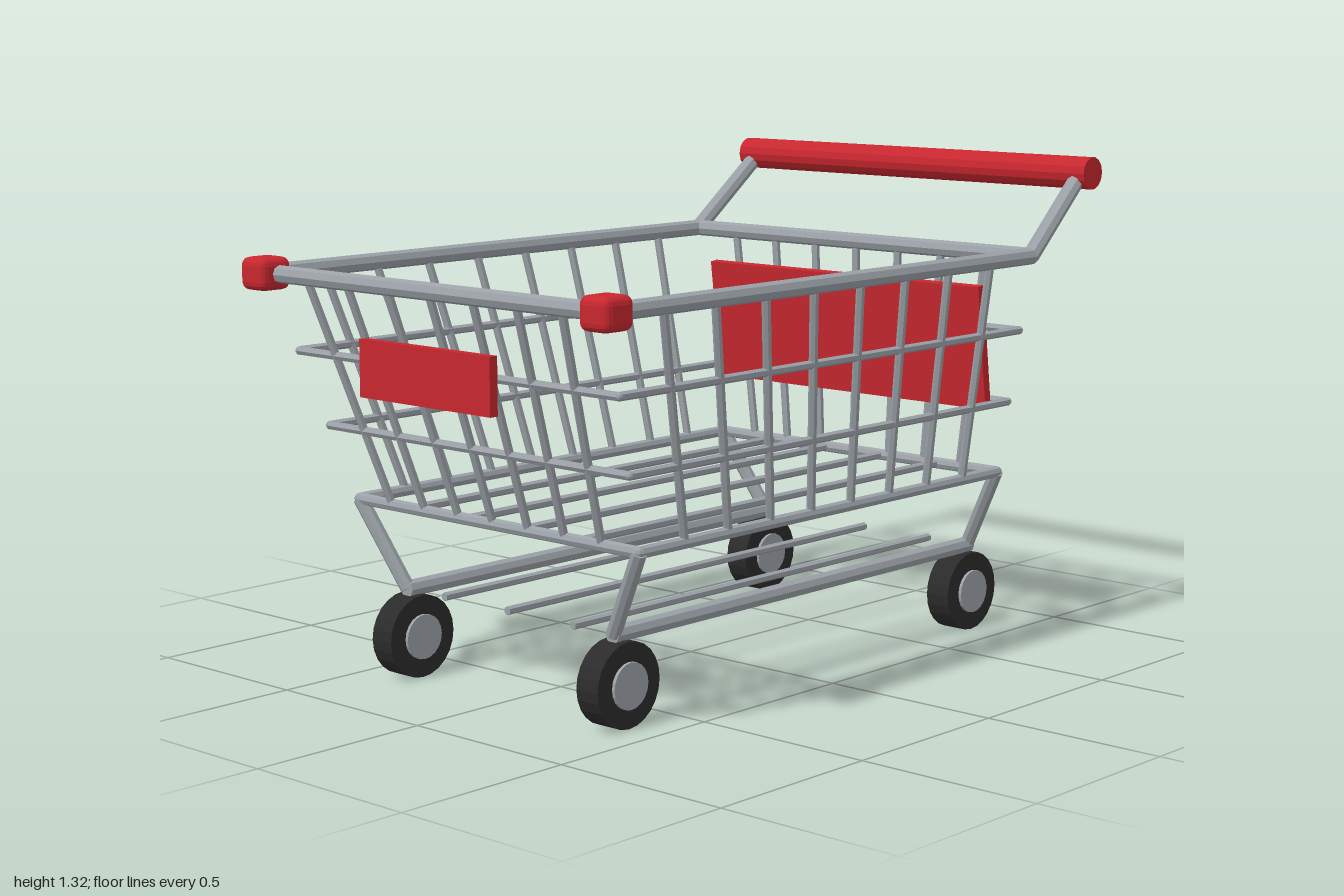
import * as THREE from 'three';
import { RoundedBoxGeometry } from 'three/addons/geometries/RoundedBoxGeometry.js';

const steel = new THREE.MeshStandardMaterial({ color: 0x9ba1a7, flatShading: true });
steel.name = 'steel';
const red = new THREE.MeshStandardMaterial({ color: 0xc8272f, flatShading: true });
red.name = 'red plastic';
const rubber = new THREE.MeshStandardMaterial({ color: 0x2b2b2b, flatShading: true });
rubber.name = 'rubber';

const WIRE = 0.0115, FRAME = 0.023, BASE = 0.016;
const TOP = 1.07, BOTTOM = 0.465, BACK = -0.7;

export function createModel() {
  const cart = new THREE.Group();
  cart.name = 'shoppingCart';

  const add = (name, geometry, material, x, y, z, parent = cart) => {
    const mesh = new THREE.Mesh(geometry, material);
    mesh.name = name;
    mesh.position.set(x, y, z);
    parent.add(mesh);
    return mesh;
  };

  // Straight bar between two points
  const bar = (name, from, to, radius, sides = 6, material = steel, parent = cart) => {
    const a = new THREE.Vector3(...from), b = new THREE.Vector3(...to);
    const dir = b.clone().sub(a);
    const mid = a.clone().add(b).multiplyScalar(0.5);
    const mesh = add(name, new THREE.CylinderGeometry(radius, radius, dir.length(), sides), material, mid.x, mid.y, mid.z, parent);
    mesh.quaternion.setFromUnitVectors(new THREE.Vector3(0, 1, 0), dir.normalize());
    return mesh;
  };

  // Basket outline at a given height: half width and front z
  const outline = (y) => {
    const t = (y - BOTTOM) / (TOP - BOTTOM);
    return { x: THREE.MathUtils.lerp(0.503, 0.605, t), front: THREE.MathUtils.lerp(0.735, 0.943, t) };
  };

  // Horizontal hoops of the basket
  const hoop = (name, y, radius, sides) => {
    const { x, front } = outline(y);
    const group = new THREE.Group();
    group.name = name;
    cart.add(group);
    const corners = [[x, y, front], [x, y, BACK], [-x, y, BACK], [-x, y, front]];
    corners.forEach((c, i) => {
      bar(name + 'Bar', c, corners[(i + 1) % 4], radius, sides, steel, group);
      add(name + 'Corner', new THREE.SphereGeometry(radius, 8, 6), steel, ...c, group);
    });
  };
  hoop('topRim', TOP, FRAME, 8);
  hoop('upperHoop', 0.865, WIRE, 6);
  hoop('lowerHoop', 0.665, WIRE, 6);
  hoop('bottomRim', BOTTOM, BASE, 8);

  // Upright wires of the basket
  const top = outline(TOP), low = outline(BOTTOM);
  for (let i = 1; i < 8; i++) {
    const s = i / 4 - 1;
    bar('frontWire', [s * low.x, BOTTOM, low.front], [s * top.x, TOP, top.front], WIRE);
    bar('backWire', [s * low.x, BOTTOM, BACK], [s * top.x, TOP, BACK], WIRE);
  }
  for (const side of [-1, 1]) {
    for (let i = 1; i < 9; i++) {
      bar('sideWire',
        [side * low.x, BOTTOM, THREE.MathUtils.lerp(low.front, BACK, i / 9)],
        [side * top.x, TOP, THREE.MathUtils.lerp(top.front, BACK, i / 9)], WIRE);
    }
  }

  // Basket floor wires and lower rack rods
  for (const x of [-0.3, -0.1, 0.1, 0.3]) {
    bar('floorWire', [x, BOTTOM, low.front], [x, BOTTOM, BACK], WIRE);
  }
  for (const x of [-0.233, 0, 0.233]) {
    bar('rackRod', [x, 0.235, 0.69], [x, 0.235, -0.75], WIRE);
  }

  // Parts mirrored left and right
  for (const side of [-1, 1]) {
    const foot = side * 0.373;
    bar('baseRail', [foot, 0.235, 0.695], [foot, 0.235, -0.75], FRAME, 8);
    bar('frontLeg', [side * low.x, BOTTOM, low.front], [foot, 0.235, 0.69], 0.02, 8);
    bar('rearLeg', [side * low.x, BOTTOM, BACK], [foot, 0.235, -0.745], 0.02, 8);
    bar('handleArm', [side * 0.605, TOP, BACK], [side * 0.588, 1.28, -0.955], FRAME, 8);
    add('cornerBumper', new RoundedBoxGeometry(0.095, 0.085, 0.1, 2, 0.022), red, side * 0.605, TOP, 0.95);

    for (const z of [0.674, -0.722]) {
      const wheel = new THREE.Group();
      wheel.name = 'wheel';
      wheel.position.set(foot, 0.11, z);
      wheel.rotation.z = Math.PI / 2;
      cart.add(wheel);
      add('tyre', new THREE.CylinderGeometry(0.11, 0.11, 0.072, 24), rubber, 0, 0, 0, wheel);
      add('hub', new THREE.CylinderGeometry(0.06, 0.06, 0.09, 20), steel, 0, 0, 0, wheel);
    }
  }

  // Push handle
  bar('pushHandle', [-0.627, 1.28, -0.955], [0.627, 1.28, -0.955], 0.045, 14, red);

  // Red panels
  add('backPanel', new THREE.BoxGeometry(0.974, 0.345, 0.025), red, 0, 0.813, -0.658).rotation.x = 0.125;
  add('frontPlate', new THREE.BoxGeometry(0.466, 0.146, 0.025), red, 0, 0.862, 0.95);

  return cart;
}
